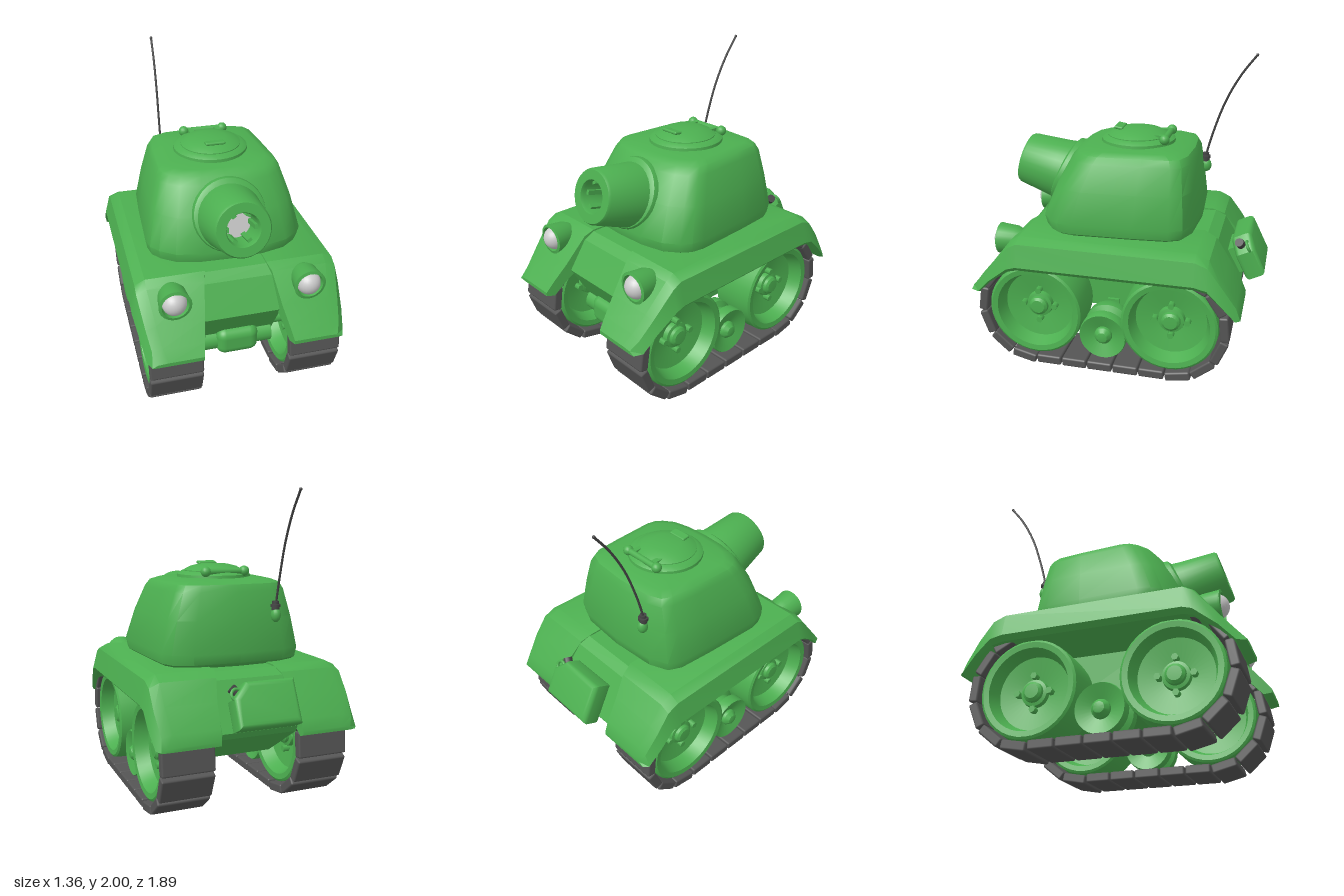
import * as THREE from 'three';
import { toCreasedNormals } from 'three/addons/utils/BufferGeometryUtils.js';
import { RoundedBoxGeometry } from 'three/addons/geometries/RoundedBoxGeometry.js';

const paint = (color) => new THREE.MeshStandardMaterial({ color });
const green = paint(0x4caf50), rubber = paint(0x555555), dark = paint(0x444444), grey = paint(0xcccccc);

function add(parent, name, geometry, material, x = 0, y = 0, z = 0) {
  const mesh = new THREE.Mesh(geometry, material);
  mesh.name = name;
  mesh.position.set(x, y, z);
  parent.add(mesh);
  return mesh;
}

// Skin over closed rings that run counter-clockwise around the loft direction, with end caps
function loft(rings, crease = 0.5) {
  const n = rings[0].length, pos = rings.flat(2), index = [];
  for (let i = 0; i < rings.length - 1; i++) {
    for (let j = 0; j < n; j++) {
      const a = i * n + j, b = i * n + (j + 1) % n;
      index.push(a, b, b + n, a, b + n, a + n);
    }
  }
  [0, rings.length - 1].forEach((r, end) => {
    const c = pos.length / 3;
    for (let k = 0; k < 3; k++) pos.push(rings[r].reduce((sum, p) => sum + p[k], 0) / n);
    for (let j = 0; j < n; j++) {
      const a = r * n + j, b = r * n + (j + 1) % n;
      index.push(...(end ? [c, a, b] : [c, b, a]));
    }
  });
  const g = new THREE.BufferGeometry();
  g.setAttribute('position', new THREE.Float32BufferAttribute(pos, 3));
  g.setIndex(index);
  return toCreasedNormals(g, crease);
}

// Lathe around y from [radius, height] pairs
function turned(points, sides = 32, crease = 0.6) {
  return toCreasedNormals(new THREE.LatheGeometry(points.map((p) => new THREE.Vector2(...p)), sides), crease);
}

function buildHull(tank) {
  // Central hull: side profile extruded across x
  const profile = [[0.6, 0.9], [0.66, 0.85], [0.77, 0.65], [0.56, 0.3], [-0.42, 0.3], [-0.78, 0.53], [-0.8, 0.57], [-0.64, 0.86], [-0.57, 0.9]];
  const shape = new THREE.Shape(profile.map(([z, y]) => new THREE.Vector2(-z, y)));
  const hull = new THREE.ExtrudeGeometry(shape, { depth: 0.5, bevelEnabled: false });
  hull.translate(0, 0, -0.25).rotateY(Math.PI / 2);
  add(tank, 'hull', hull, green);

  // Fenders: z, top, bottom, inner x, outer x
  const stations = [
    [-0.84, 0.54, 0.515, 0.27, 0.64], [-0.81, 0.61, 0.505, 0.265, 0.665], [-0.72, 0.75, 0.6, 0.25, 0.68],
    [-0.63, 0.875, 0.685, 0.22, 0.68], [-0.55, 0.91, 0.7, 0.2, 0.68], [0.6, 0.91, 0.7, 0.2, 0.68],
    [0.66, 0.875, 0.685, 0.22, 0.68], [0.8, 0.7, 0.585, 0.25, 0.655], [0.89, 0.595, 0.49, 0.275, 0.635], [0.945, 0.525, 0.5, 0.29, 0.61],
  ];
  for (const s of [-1, 1]) {
    const rings = stations.map(([z, t, b, xi, xo]) => {
      const h = t - b;
      const ring = [[xi, b], [xo - 0.03, b], [xo, b + 0.15 * h], [xo - 0.035, b + 0.85 * h], [xo - 0.1, t], [xi, t]]
        .map(([x, y]) => [s * x, y, z]);
      return s > 0 ? ring : ring.reverse();
    });
    add(tank, s > 0 ? 'leftFender' : 'rightFender', loft(rings), green);

    // Headlight housing and lens
    const housing = turned([[0, -0.14], [0.06, -0.12], [0.09, -0.06], [0.1, 0.04], [0.104, 0.055], [0.085, 0.06], [0.08, 0.02], [0, 0.02]], 24);
    add(tank, 'headlight', housing.rotateX(Math.PI / 2), green, s * 0.43, 0.82, 0.735);
    add(tank, 'headlightLens', new THREE.SphereGeometry(0.078, 24, 16), grey, s * 0.43, 0.82, 0.755);
  }

  // Transmission housing across the nose
  add(tank, 'transmission', new RoundedBoxGeometry(0.28, 0.19, 0.19, 4, 0.06), green, 0, 0.375, 0.61);
  add(tank, 'transmissionShaft', new THREE.CylinderGeometry(0.072, 0.072, 0.47, 20).rotateZ(Math.PI / 2), green, 0, 0.365, 0.6);
}

function buildTurret(tank) {
  // Half outline as [x, z] fractions, front to rear
  const half = [[0, 1], [0.4, 0.98], [0.7, 0.91], [0.88, 0.78], [0.97, 0.66], [1, 0.5], [0.96, -0.25], [0.92, -0.7], [0.84, -0.86], [0.6, -0.96], [0, -1]];
  const outline = [...half, ...half.slice(1, -1).reverse().map(([x, z]) => [-x, z])];
  // Levels: y, half width, front z, rear z
  const levels = [
    [0.9, 0.47, 0.49, -0.47], [0.925, 0.505, 0.53, -0.5], [0.99, 0.517, 0.545, -0.512], [1.2, 0.467, 0.455, -0.487],
    [1.37, 0.412, 0.355, -0.462], [1.415, 0.385, 0.315, -0.44], [1.435, 0.33, 0.26, -0.39], [1.445, 0.2, 0.12, -0.24],
  ];
  const rings = levels.map(([y, w, f, r]) => outline.map(([x, z]) => [x * w, y, (f + r) / 2 + z * (f - r) / 2]));
  add(tank, 'turret', loft(rings, 0.7), green);

  // Gun with flared root, hollow muzzle and collar, tilted upward
  const gun = new THREE.Group();
  gun.name = 'gun';
  gun.position.set(0, 1.26, 0.745);
  gun.rotation.x = Math.PI / 2 - 0.26;
  tank.add(gun);
  add(gun, 'barrel', turned([[0, -0.5], [0.22, -0.5], [0.215, -0.3], [0.205, -0.24], [0.178, -0.015], [0.168, 0], [0.108, 0], [0.1, -0.02], [0.1, -0.2], [0, -0.2]]), green);
  add(gun, 'boreEnd', new THREE.CylinderGeometry(0.099, 0.099, 0.01, 24), grey, 0, -0.19, 0);
  for (let i = 0; i < 6; i++) {
    const a = i * Math.PI / 3;
    const rib = add(gun, 'boreRib', new THREE.BoxGeometry(0.03, 0.14, 0.03), green, 0.095 * Math.cos(a), -0.11, 0.095 * Math.sin(a));
    rib.rotation.y = -a;
  }
  const collar = add(tank, 'gunCollar', turned([[0, -0.12], [0.24, -0.12], [0.242, 0.0], [0.232, 0.03], [0.2, 0.045], [0, 0.045]]), green, 0, 1.19, 0.43);
  collar.rotation.x = Math.PI / 2 - 0.44;

  // Domed hatch with hinge and grip
  add(tank, 'hatchRing', turned([[0, -0.03], [0.25, -0.03], [0.245, 0.015], [0.215, 0.035], [0, 0.035]]), green, 0, 1.445, -0.055);
  add(tank, 'hatchLid', turned([[0, 0], [0.2, 0], [0.2, 0.02], [0.16, 0.042], [0.1, 0.057], [0, 0.062]]), green, 0, 1.465, -0.05);
  const hinge = add(tank, 'hatchHinge', new THREE.CylinderGeometry(0.021, 0.021, 0.26, 12).rotateZ(Math.PI / 2), green, 0, 1.485, -0.255);
  for (const s of [-1, 1]) {
    add(hinge, 'hingeKnob', new THREE.SphereGeometry(0.034, 14, 10), green, s * 0.135, 0, 0);
    add(hinge, 'hingeArm', new THREE.BoxGeometry(0.035, 0.025, 0.09), green, s * 0.09, 0.005, 0.045);
  }
  const grip = add(tank, 'hatchGrip', new RoundedBoxGeometry(0.13, 0.02, 0.06, 3, 0.009), green, 0, 1.525, 0.07);
  grip.rotation.x = -0.15;

  // Whip antenna leaning back
  add(tank, 'antennaMount', new THREE.SphereGeometry(0.036, 16, 12).scale(0.9, 1.3, 1), green, -0.255, 1.215, -0.482);
  for (const [r, y] of [[0.026, 1.255], [0.033, 1.275], [0.022, 1.295]]) {
    add(tank, 'antennaSocket', new THREE.CylinderGeometry(r, r, 0.018, 14), dark, -0.255, y, -0.477);
  }
  const path = new THREE.CatmullRomCurve3([[-0.258, 1.28, -0.475], [-0.257, 1.45, -0.52], [-0.252, 1.68, -0.6], [-0.247, 1.86, -0.695], [-0.244, 1.99, -0.79]].map((p) => new THREE.Vector3(...p)));
  add(tank, 'antenna', new THREE.TubeGeometry(path, 20, 0.0075, 8), dark);
  add(tank, 'antennaTip', new THREE.SphereGeometry(0.01, 10, 8), dark, -0.244, 1.99, -0.79);
}

function buildRunningGear(tank, s) {
  const gear = new THREE.Group();
  gear.name = s > 0 ? 'leftRunningGear' : 'rightRunningGear';
  gear.position.x = s * 0.45;
  tank.add(gear);
  const R = 0.355, front = 0.51, rear = -0.39, axleY = 0.39;

  // Large wheels, dished on both faces; profile mirrored about the middle
  const side = [[0, 0.1], [0.045, 0.098], [0.062, 0.085], [0.065, 0.065], [0.085, 0.06], [0.09, 0.03], [0.235, 0.055], [0.265, 0.145], [0.3, 0.15], [0.315, 0.14], [0.32, 0.05]];
  const wheel = [...side.map(([r, x]) => [r, -x]), ...side.slice().reverse()];
  for (const z of [front, rear]) {
    add(gear, 'wheel', turned(wheel, 36).rotateZ(-Math.PI / 2), green, 0, axleY, z);
    add(gear, 'axle', new THREE.CylinderGeometry(0.045, 0.045, 0.25, 14).rotateZ(Math.PI / 2), green, -s * 0.12, axleY, z);
    for (let i = 0; i < 8; i++) {
      const a = i * Math.PI / 2;
      add(gear, 'wheelNut', new THREE.CylinderGeometry(0.022, 0.022, 0.05, 6).rotateZ(Math.PI / 2), green,
        i < 4 ? 0.055 : -0.055, axleY + 0.108 * Math.sin(a), z + 0.108 * Math.cos(a));
    }
  }

  // Small roller between the wheels
  const disc = [[0, 0.13], [0.035, 0.122], [0.058, 0.095], [0.06, 0.075], [0.155, 0.11], [0.16, 0.1], [0.16, 0.04], [0.12, 0.02]];
  add(gear, 'roller', turned([...disc.map(([r, x]) => [r, -x]), ...disc.slice().reverse()], 28).rotateZ(-Math.PI / 2), green, 0, 0.23, 0.06);
  add(gear, 'rollerAxle', new THREE.CylinderGeometry(0.035, 0.035, 0.25, 12).rotateZ(Math.PI / 2), green, -s * 0.12, 0.23, 0.06);
  add(gear, 'rollerArm', new THREE.BoxGeometry(0.04, 0.16, 0.08), green, -s * 0.2, 0.28, 0.06);

  // Track links spaced round two arcs and two straights
  const run = front - rear, arc = Math.PI * R, total = 2 * (run + arc), count = 23;
  for (let i = 0; i < count; i++) {
    let d = (0.09 + i * total / count) % total, y, z, turn;
    if (d < run) [z, y, turn] = [front - d, axleY - R, 0];
    else if ((d -= run) < arc) [z, y, turn] = [rear - R * Math.sin(d / R), axleY - R * Math.cos(d / R), d / R];
    else if ((d -= arc) < run) [z, y, turn] = [rear + d, axleY + R, Math.PI];
    else {
      const a = (d - run) / R;
      [z, y, turn] = [front + R * Math.sin(a), axleY + R * Math.cos(a), Math.PI + a];
    }
    add(gear, 'trackLink', new RoundedBoxGeometry(0.34, 0.06, 0.168, 1, 0.012), rubber, 0, y, z).rotation.x = turn;
  }
}

function buildFuelCan(tank) {
  // Can with a cut corner for the spout, leaning on the rear plate
  const can = new THREE.Group();
  can.name = 'fuelCan';
  can.position.set(0, 0.735, -0.835);
  can.rotation.x = 0.46;
  tank.add(can);
  const shape = new THREE.Shape([[-0.17, -0.105], [0.17, -0.105], [0.17, 0.03], [0.1, 0.105], [-0.17, 0.105]].map((p) => new THREE.Vector2(...p)));
  const body = new THREE.ExtrudeGeometry(shape, { depth: 0.08, bevelThickness: 0.03, bevelSize: 0.035, bevelSegments: 4 });
  add(can, 'canBody', toCreasedNormals(body.translate(0, 0, -0.04), 0.6), green);
  const spout = add(can, 'canCap', new THREE.CylinderGeometry(0.03, 0.03, 0.06, 14), dark, 0.165, 0.1, 0.01);
  spout.rotation.z = -0.75;
  add(can, 'canHandle', new THREE.TorusGeometry(0.035, 0.01, 8, 14), green, 0.175, 0.07, -0.035);
  add(can, 'canBracket', new THREE.BoxGeometry(0.26, 0.18, 0.1), green, 0, -0.01, 0.08);
}

export function createModel() {
  const tank = new THREE.Group();
  tank.name = 'tank';
  buildHull(tank);
  buildTurret(tank);
  for (const s of [-1, 1]) buildRunningGear(tank, s);
  buildFuelCan(tank);
  return tank;
}
